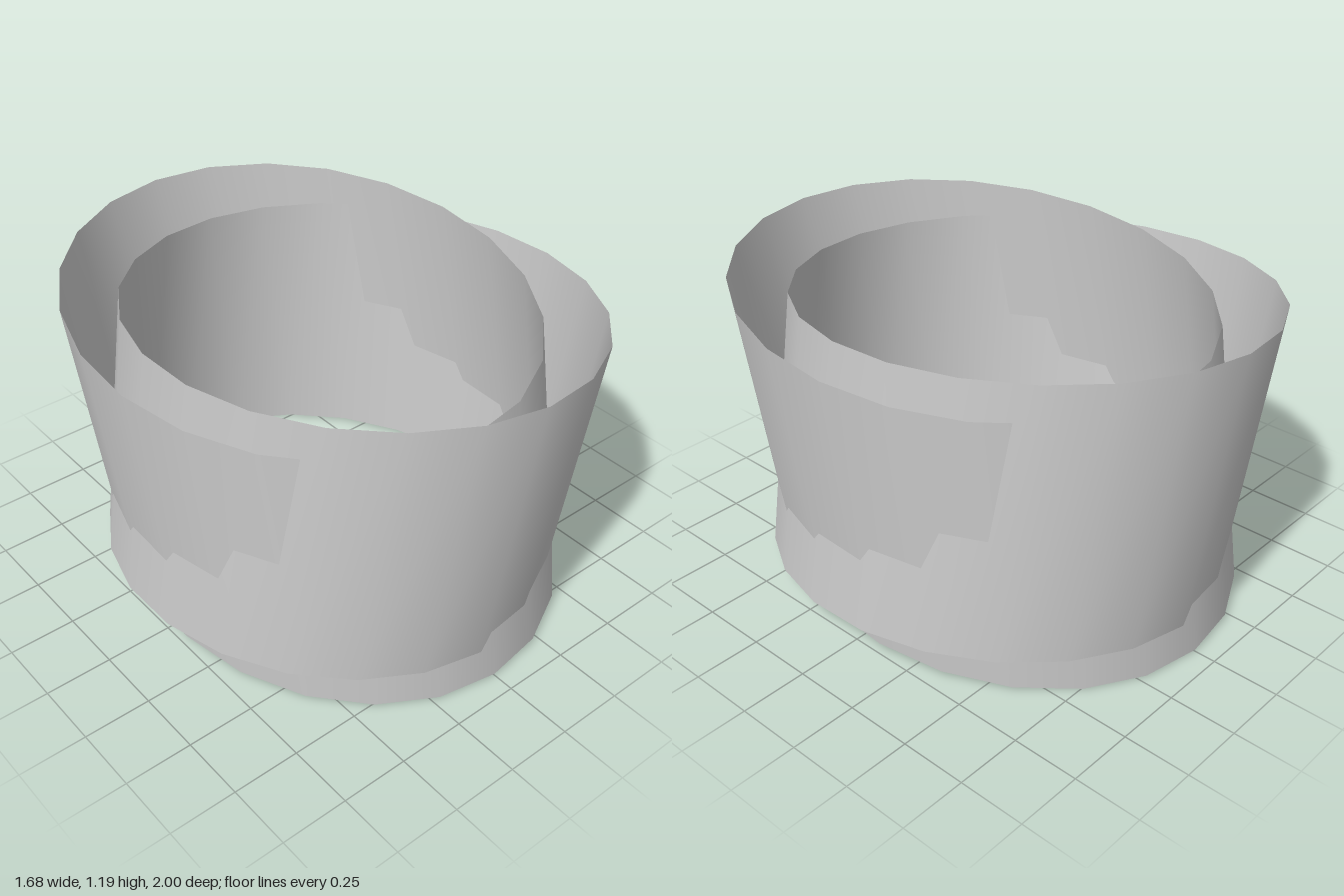
import * as THREE from 'three';
import { mergeVertices } from 'three/addons/utils/BufferGeometryUtils.js';

const SIDES = 22;

// Each rim is an ellipse lying in the tilted plane y = h + a*x + b*z
const TOP = { cx: 0.065, cz: 0.085, rx: 0.78, rz: 0.915, h: 1.113, a: -0.04, b: 0.075 };
const BOTTOM = { cx: -0.03, cz: -0.01, rx: 0.772, rz: 0.91, h: 0.075, a: -0.045, b: 0.07 };

// Open tube whose two ends are moved onto the tilted rims
function leaningTube() {
  const geometry = new THREE.CylinderGeometry(1, 1, 1, SIDES, 1, true, -0.04);
  geometry.deleteAttribute('uv');
  geometry.deleteAttribute('normal');
  const p = geometry.attributes.position;
  for (let i = 0; i < p.count; i++) {
    const rim = p.getY(i) > 0 ? TOP : BOTTOM;
    const x = rim.cx + rim.rx * p.getX(i);
    const z = rim.cz + rim.rz * p.getZ(i);
    p.setXYZ(i, x, rim.h + rim.a * x + rim.b * z, z);
  }
  // Join the seam so the wall is smooth all round
  const joined = mergeVertices(geometry, 1e-4);
  joined.computeVertexNormals();
  return joined;
}

export function createModel() {
  const model = new THREE.Group();
  model.name = 'crossedCuff';
  const material = new THREE.MeshStandardMaterial({ color: 0xcccccc, side: THREE.DoubleSide });
  const geometry = leaningTube();

  // Two equal bands, half a turn apart, passing through each other
  ['frontBand', 'backBand'].forEach((name, i) => {
    const band = new THREE.Mesh(geometry, material);
    band.name = name;
    band.rotation.y = i * Math.PI;
    model.add(band);
  });
  return model;
}
